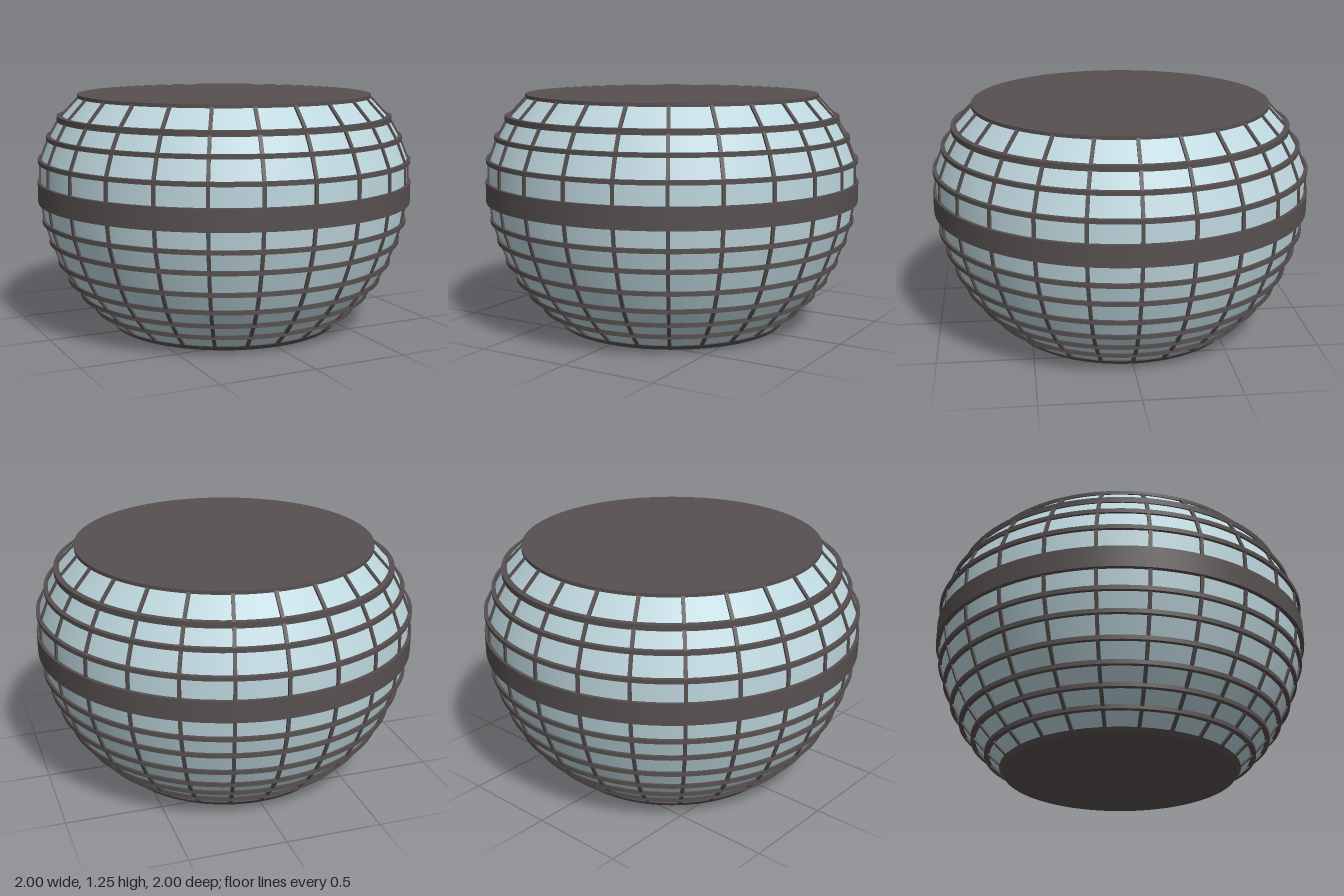
import * as THREE from 'three';
import { mergeGeometries } from 'three/addons/utils/BufferGeometryUtils.js';

const SIDES = 96;
const RIBS = 24;

// Glass profile, bottom to top: [height, radius]
const levels = [
  [0.015, 0.605], [0.095, 0.695], [0.175, 0.77], [0.26, 0.835], [0.36, 0.888], [0.475, 0.932],
  [0.58, 0.964], [0.735, 0.984], [0.9, 0.98], [1.02, 0.933], [1.12, 0.876], [1.235, 0.768],
];

export function createModel() {
  const model = new THREE.Group();
  const frame = new THREE.MeshStandardMaterial({ color: 0x575050 });
  frame.name = 'dark frame';
  const glass = new THREE.MeshStandardMaterial({ color: 0xbdd6dd });
  glass.name = 'pale blue glass';

  const add = (name, geometry, material, y = 0) => {
    const mesh = new THREE.Mesh(geometry, material);
    mesh.name = name;
    mesh.position.y = y;
    model.add(mesh);
  };

  // Hoop with a rectangular section, buried slightly in the glass
  const hoop = (inner, outer, height) => {
    const h = height / 2;
    const section = [[inner, -h], [outer, -h], [outer, h], [inner, h]];
    const sides = section.slice(0, 3).map((p, i) => new THREE.LatheGeometry(
      [p, section[i + 1]].map(([x, y]) => new THREE.Vector2(x, y)), SIDES));
    return mergeGeometries(sides);
  };

  // One glass tier and one ring of ribs between each pair of levels
  for (let i = 0; i < levels.length - 1; i++) {
    const [y0, r0] = levels[i];
    const [y1, r1] = levels[i + 1];
    const height = y1 - y0;
    const middle = (y0 + y1) / 2;
    add('glassTier' + (i + 1), new THREE.CylinderGeometry(r1, r0, height, SIDES, 1, true), glass, middle);

    const ribs = [];
    for (let k = 0; k < RIBS; k++) {
      const rib = new THREE.BoxGeometry(0.018, Math.hypot(height, r1 - r0), 0.02);
      rib.rotateX(Math.atan2(r1 - r0, height));
      rib.translate(0, 0, (r0 + r1) / 2);
      rib.rotateY((k / RIBS) * Math.PI * 2);
      ribs.push(rib);
    }
    add('ribs' + (i + 1), mergeGeometries(ribs), frame, middle);
  }

  // Horizontal hoops, with the wide belt at the widest level
  levels.slice(1, -1).forEach(([y, r], i) => {
    const belt = y === 0.735;
    add(belt ? 'wideBelt' : 'hoop' + (i + 1),
      hoop(r - 0.02, r + 0.016, belt ? 0.112 : y === 1.12 ? 0.029 : 0.022), frame, y);
  });

  // Roof with a thin rim, and the base plate
  add('roof', new THREE.CylinderGeometry(0.77, 0.77, 0.02, SIDES), frame, 1.233);
  add('roofRim', hoop(0.755, 0.782, 0.018), frame, 1.236);
  add('base', new THREE.CylinderGeometry(0.63, 0.61, 0.024, SIDES), frame, 0.012);

  return model;
}
